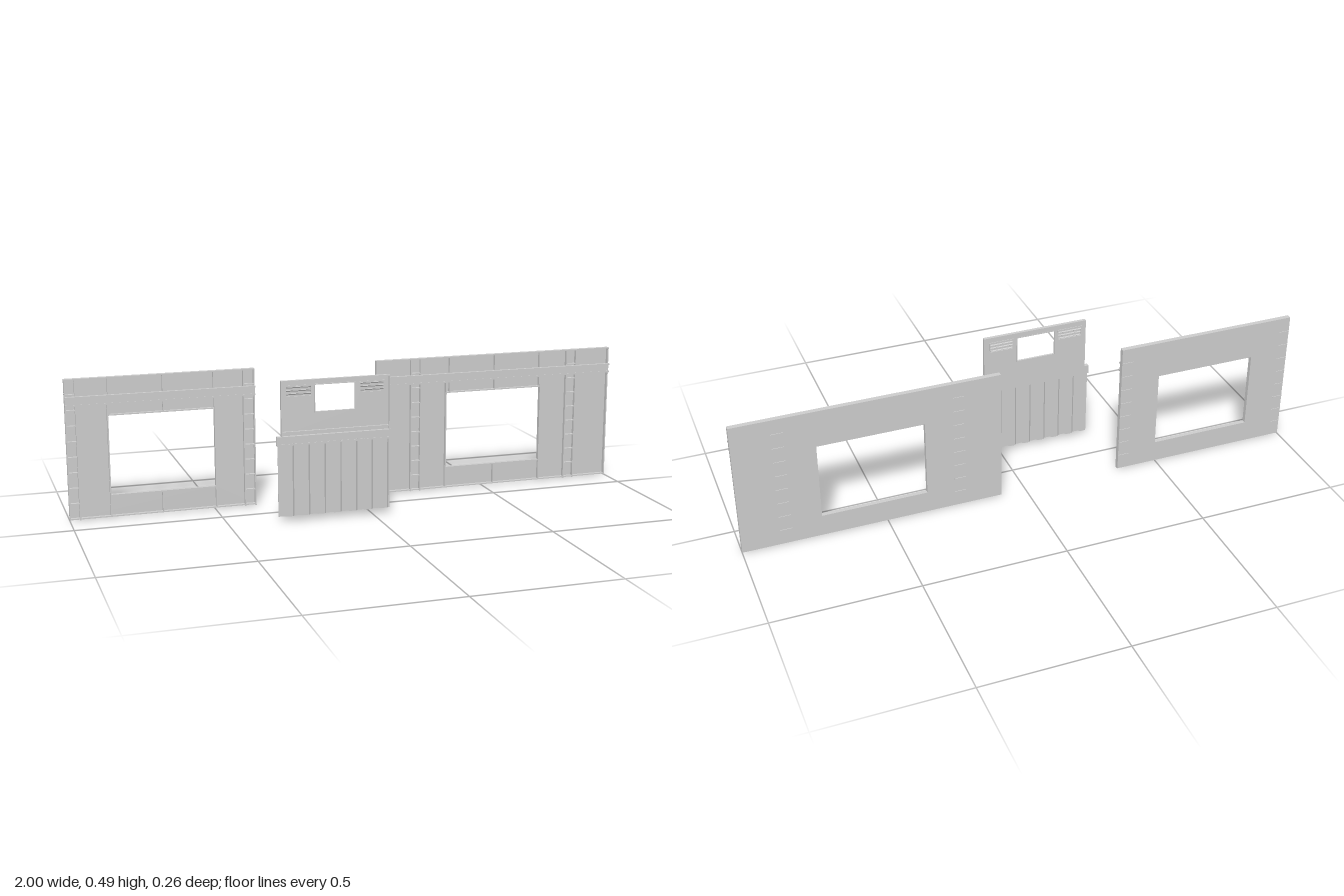
import * as THREE from 'three';

const mat = new THREE.MeshStandardMaterial({ color: 0xcccccc, flatShading: true, side: THREE.DoubleSide });

// Box given by its limits on each axis
function box(parent, name, x0, x1, y0, y1, z0, z1) {
  const m = new THREE.Mesh(new THREE.BoxGeometry(x1 - x0, y1 - y0, z1 - z0), mat);
  m.position.set((x0 + x1) / 2, (y0 + y1) / 2, (z0 + z1) / 2);
  m.name = name;
  parent.add(m);
  return m;
}

// Flat sheet with rectangular openings, each [x0, x1, y0, y1]
function sheet(parent, name, [x0, x1, y0, y1], holes, z0, z1) {
  const rect = (C, a, b, c, d) => {
    const p = new C();
    p.moveTo(a, c); p.lineTo(b, c); p.lineTo(b, d); p.lineTo(a, d); p.closePath();
    return p;
  };
  const shape = rect(THREE.Shape, x0, x1, y0, y1);
  holes.forEach(h => shape.holes.push(rect(THREE.Path, ...h)));
  const geo = new THREE.ExtrudeGeometry(shape, { depth: z1 - z0, bevelEnabled: false });
  const m = new THREE.Mesh(geo, mat);
  m.position.z = z0;
  m.name = name;
  parent.add(m);
}

// Horizontal C-shaped rail, open to the front
function channel(parent, name, x0, x1, y0, y1, back, front) {
  const g = new THREE.Group();
  g.name = name;
  const t = 0.003;
  box(g, 'railWeb', x0, x1, y0, y1, back, back + t);
  for (const y of [y0, y1 - t]) box(g, 'railFlange', x0, x1, y, y + t, back, front);
  for (const y of [y0, y1 - 0.006]) box(g, 'railLip', x0, x1, y, y + 0.006, front - 0.0015, front);
  parent.add(g);
}

// Framed wall: skin at the back, ribs in front, ladder-like posts and a rail
function wall(name, x0, x1, win, posts, topRibs, sillRibs, railStart) {
  const g = new THREE.Group();
  g.name = name;
  const H = 0.487, back = -0.128, skin = -0.124, rib = -0.1125, front = -0.111, t = 0.004;
  const [wx0, wx1, wy0, wy1] = win;
  sheet(g, 'wallSkin', [x0, x1, 0.003, H], [win], back, skin);

  // Outer border
  box(g, 'topFlange', x0, x1, H - t, H, skin, front);
  for (const [a, b] of [[x0, wx0], [wx1, x1], [wx0, wx1]]) box(g, 'bottomFlange', a, b, 0.003, 0.007, skin, front);
  for (const x of [x0, x1 - t]) box(g, 'sideFlange', x, x + t, 0.003, H, skin, front);

  // Window surround
  for (const x of [wx0 - t, wx1]) box(g, 'windowJamb', x, x + t, 0.003, 0.4, skin, rib);
  box(g, 'windowSill', wx0, wx1, wy0 - t, wy0, skin, rib);
  box(g, 'windowHeader', wx0, wx1, wy1, wy1 + t, skin, rib);

  // Short ribs above and below the window
  for (const x of topRibs) {
    box(g, 'upperRib', x - t / 2, x + t / 2, 0.428, H, skin, rib);
    if (x > wx0 && x < wx1) box(g, 'headerRib', x - t / 2, x + t / 2, wy1, 0.395, skin, rib);
  }
  for (const x of sillRibs) box(g, 'sillRib', x - t / 2, x + t / 2, 0.003, wy0, skin, rib);

  // Posts with rungs that show through at the back
  for (const [a, b] of posts) {
    const post = new THREE.Group();
    post.name = 'ladderPost';
    for (const x of [a, b - t]) box(post, 'postStile', x, x + t, 0, H, skin, front);
    for (let i = 0; i < 8; i++) {
      const y = 0.058 + i * 0.0536;
      box(post, 'postRung', a, b, y - 0.0015, y + 0.0015, -0.1305, -0.112);
    }
    g.add(post);
  }
  channel(g, 'cableRail', railStart, x1, 0.395, 0.428, front - 0.001, -0.101);
  return g;
}

function hatch() {
  const g = new THREE.Group();
  g.name = 'shutter';
  const x0 = -0.322, x1 = 0.06, y0 = 0.297, y1 = 0.485, zb = 0.116, zs = 0.119, zf = 0.1275, t = 0.004;
  const win = [-0.203, -0.064, 0.374, 0.465];
  const vents = [[-0.303, -0.217, 0.43, 0.464], [-0.045, 0.038, 0.43, 0.464]];
  sheet(g, 'upperPanel', [x0, x1, y0, y1], [win, ...vents], zb, zs);

  // Panel border
  for (const y of [0.308, y1 - t]) box(g, 'panelFlange', x0, x1, y, y + t, zs, zf);
  for (const x of [x0, x1 - t]) box(g, 'panelSide', x, x + t, y0, y1, zs, zf);

  // Opening surround
  const [a, b, c, d] = win;
  sheet(g, 'openingFrame', [a - 0.003, b + 0.003, c - 0.003, d + 0.003], [win], zb - 0.001, zs + 0.003);

  // Louvred vents
  for (const [va, vb, vc, vd] of vents) {
    const v = new THREE.Group();
    v.name = 'vent';
    sheet(v, 'ventFrame', [va - 0.003, vb + 0.003, vc - 0.003, vd + 0.003], [[va, vb, vc, vd]], 0.1135, 0.121);
    box(v, 'ventBacking', va, vb, vc, vd, 0.1165, 0.1175);
    for (let i = 0; i < 3; i++) {
      const y = vc + (vd - vc) * (i + 0.5) / 3;
      const s = box(v, 'ventSlat', va, vb, y - 0.004, y + 0.004, 0.1165, 0.118);
      s.rotation.x = 0.6;
    }
    g.add(v);
  }
  channel(g, 'middleRail', -0.338, 0.063, 0.265, 0.297, 0.117, 0.131);

  // Corrugated lower sheet
  const n = 7, pitch = 0.39 / n, s = new THREE.Shape();
  const pts = [];
  for (let i = 0; i < n; i++) {
    const x = -0.334 + i * pitch;
    pts.push([x, 0.119], [x + pitch * 0.38, 0.119], [x + pitch * 0.5, 0.1255], [x + pitch * 0.88, 0.1255]);
  }
  pts.push([0.056, 0.119], [0.06, 0.119]);
  const loop = [...pts, ...pts.map(([x, z]) => [x, z + 0.0015]).reverse()];
  loop.forEach(([x, z], i) => (i ? s.lineTo(x, -z) : s.moveTo(x, -z)));
  const geo = new THREE.ExtrudeGeometry(s, { depth: 0.25, bevelEnabled: false });
  geo.rotateX(-Math.PI / 2);
  const m = new THREE.Mesh(geo, mat);
  m.position.y = 0.02;
  m.name = 'corrugatedSheet';
  g.add(m);
  return g;
}

export function createModel() {
  const root = new THREE.Group();
  root.name = 'wallPanels';
  root.add(
    wall('shortWall', -1, -0.352, [-0.857, -0.495, 0.08, 0.355],
      [[-1, -0.962], [-0.393, -0.352]], [-0.855, -0.67, -0.495], [-0.68], -1),
    wall('longWall', 0.09, 1, [0.358, 0.725, 0.08, 0.355],
      [[0.22, 0.26], [0.828, 0.87]], [0.37, 0.545, 0.722], [0.545], 0.085),
    hatch(),
  );
  return root;
}
